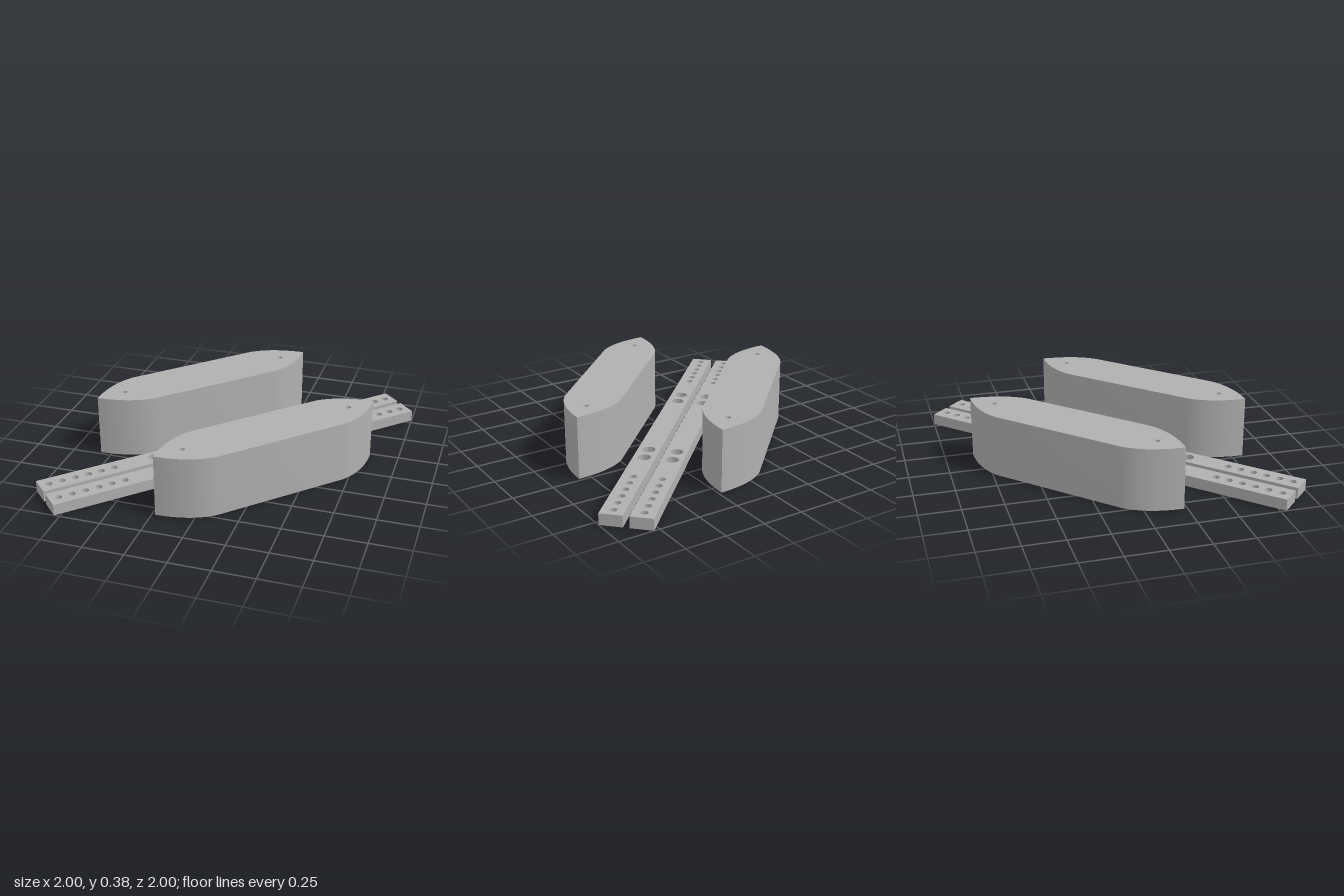
import * as THREE from 'three';
import { toCreasedNormals } from 'three/addons/utils/BufferGeometryUtils.js';

const grey = new THREE.MeshStandardMaterial({ color: 0xb0b0b0 });

// Upright prism from a plan shape: shape x runs along the part, shape y across it
function prism(name, shape, height) {
  const geo = new THREE.ExtrudeGeometry(shape, { depth: height, bevelEnabled: false, curveSegments: 16 });
  geo.rotateX(-Math.PI / 2);
  const mesh = new THREE.Mesh(toCreasedNormals(geo, 0.5), grey);
  mesh.name = name;
  return mesh;
}

function circle(path, x, r) {
  path.absarc(x, 0, r, 0, Math.PI * 2, false);
  return path;
}

const mirrored = (list) => list.flatMap((x) => [x, -x]);

// Flat bar with through holes at the ends and counterbored holes nearer the middle
function createBar(name) {
  const L = 1.262, W = 0.067, H = 0.07;
  const holeR = 0.022, boreR = 0.039, boreFloor = 0.035;
  const group = new THREE.Group();
  group.name = name;

  const plan = new THREE.Shape();
  plan.moveTo(-L, -W).lineTo(L, -W).lineTo(L, W).lineTo(-L, W).closePath();
  const endHoles = Array.from({ length: 6 }, (_, i) => 0.789 + i * 0.0833);
  for (const x of mirrored(endHoles)) plan.holes.push(circle(new THREE.Path(), x, holeR));

  // Narrow lower rings leave a step inside each wide bore
  for (const x of mirrored([0.404, 0.52])) {
    plan.holes.push(circle(new THREE.Path(), x, boreR));
    const ring = circle(new THREE.Shape(), x, boreR);
    ring.holes.push(circle(new THREE.Path(), x, holeR));
    group.add(prism('counterboreStep', ring, boreFloor));
  }
  group.add(prism('barBody', plan, H));
  return group;
}

// Tall block with pointed, curved ends and a small blind hole near each tip
function createBlock(name) {
  const tip = 0.744, flat = 0.43, W = 0.171, H = 0.385;
  const holeX = 0.562, holeR = 0.016, holeDepth = 0.1;
  const group = new THREE.Group();
  group.name = name;

  const plan = new THREE.Shape();
  plan.moveTo(tip, 0);
  plan.quadraticCurveTo(0.59, 0.154, flat, W);
  plan.lineTo(-flat, W);
  plan.quadraticCurveTo(-0.59, 0.154, -tip, 0);
  plan.quadraticCurveTo(-0.59, -0.154, -flat, -W);
  plan.lineTo(flat, -W);
  plan.quadraticCurveTo(0.59, -0.154, tip, 0);

  for (const x of [holeX, -holeX]) {
    plan.holes.push(circle(new THREE.Path(), x, holeR));
    group.add(prism('holeFloor', circle(new THREE.Shape(), x, holeR), H - holeDepth));
  }
  group.add(prism('blockBody', plan, H));
  return group;
}

export function createModel() {
  const model = new THREE.Group();
  model.name = 'barsAndBlocks';
  for (const [side, s] of [['back', -1], ['front', 1]]) {
    const bar = createBar(side + 'Bar');
    bar.position.z = s * 0.085;
    const block = createBlock(side + 'Block');
    block.position.z = s * 0.418;
    model.add(bar, block);
  }
  // All parts lie along the diagonal
  model.rotation.y = Math.PI / 4;
  const root = new THREE.Group();
  root.add(model);
  return root;
}
